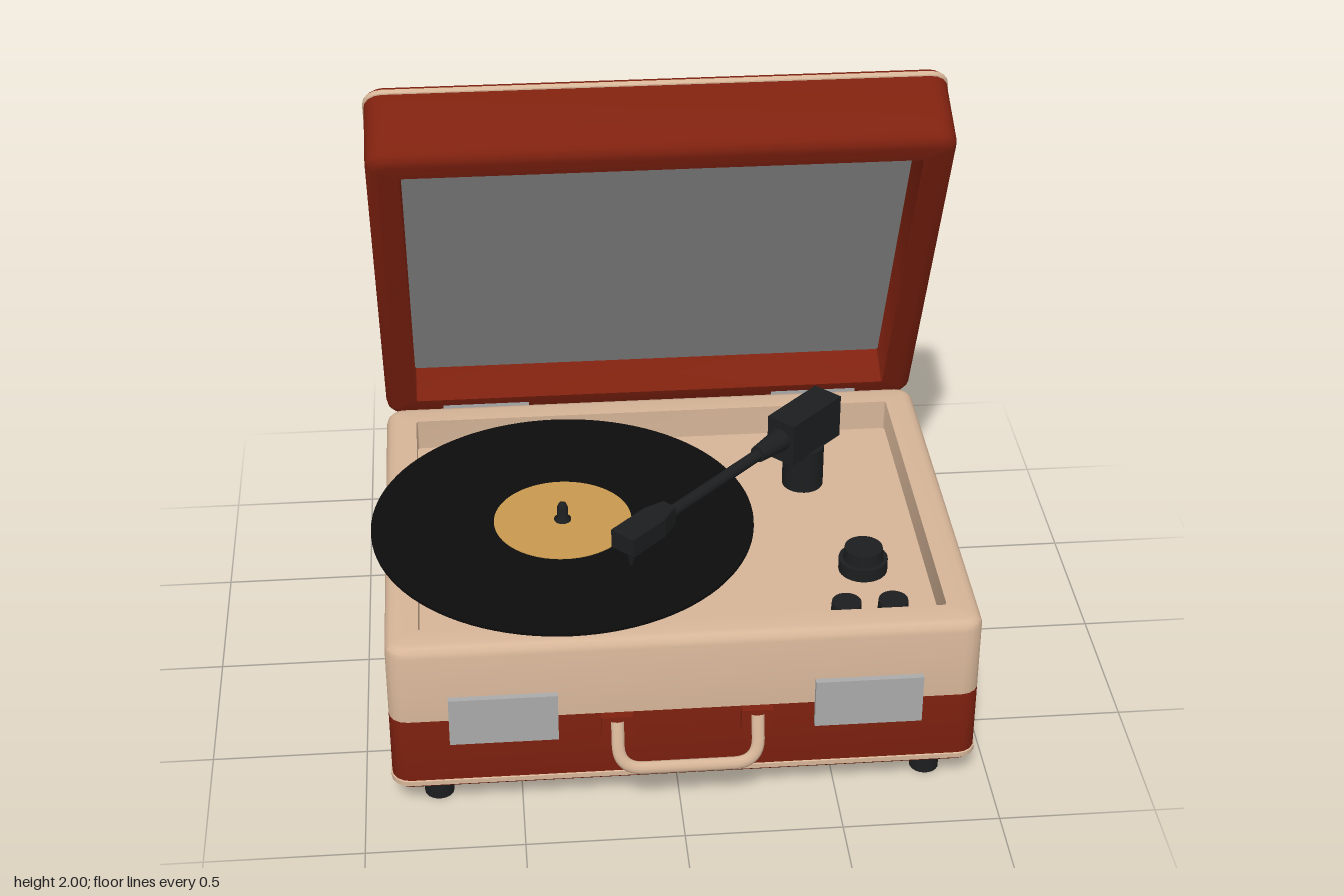
import * as THREE from 'three';
import { toCreasedNormals } from 'three/addons/utils/BufferGeometryUtils.js';

const paint = (color) => new THREE.MeshStandardMaterial({ color });
const RED = paint(0x7f210f), CREAM = paint(0xd6b598), BLACK = paint(0x1c1e1f);
const VINYL = paint(0x0c0c0c), LABEL = paint(0xc8994f), GREY = paint(0xaaaaaa), LINING = paint(0x8c8c8c);

const CX = 0.02, CZ = 0.10;           // case centre
const HX = 0.93, HZ = 0.7175;         // case half width and half depth
const CORNER = 0.06;

function add(parent, name, geometry, material, x = 0, y = 0, z = 0) {
  const mesh = new THREE.Mesh(geometry, material);
  mesh.name = name;
  mesh.position.set(x, y, z);
  parent.add(mesh);
  return mesh;
}

const box = (w, h, d) => new THREE.BoxGeometry(w, h, d);
const cyl = (top, bottom, h, sides = 32) => new THREE.CylinderGeometry(top, bottom, h, sides);

// Rounded-rectangle rings lofted along a profile of [insetX, insetZ, height].
// An inset of null closes the surface at the centre.
function loft(profile) {
  const steps = 4, n = 4 * (steps + 1), pos = [], index = [];
  for (const [ix, iz, h] of profile) {
    for (let q = 0; q < 4; q++) {
      for (let s = 0; s <= steps; s++) {
        if (ix === null) { pos.push(0, h, 0); continue; }
        const a = (q + s / steps) * Math.PI / 2;
        const r = Math.max(CORNER - ix, 0.01);
        const sx = q === 0 || q === 3 ? 1 : -1, sz = q < 2 ? -1 : 1;
        pos.push(sx * (HX - ix - r) + r * Math.cos(a), h, sz * (HZ - iz - r) - r * Math.sin(a));
      }
    }
  }
  for (let i = 0; i < profile.length - 1; i++) {
    for (let j = 0; j < n; j++) {
      const k = (j + 1) % n, a = i * n + j, b = i * n + k, c = b + n, d = a + n;
      if (profile[i][0] !== null) index.push(a, b, c);
      if (profile[i + 1][0] !== null) index.push(a, c, d);
    }
  }
  // drop zero-area centre triangles
  const tris = [];
  for (let t = 0; t < index.length; t += 3) tris.push(index[t], index[t + 1], index[t + 2]);
  for (let i = 0; i < profile.length - 1; i++) {
    for (let j = 0; j < n; j++) {
      const k = (j + 1) % n, a = i * n + j, b = i * n + k, c = b + n, d = a + n;
      if (profile[i][0] === null) tris.push(a, c, d);
      if (profile[i + 1][0] === null) tris.push(a, b, c);
    }
  }
  const g = new THREE.BufferGeometry();
  g.setAttribute('position', new THREE.Float32BufferAttribute(pos, 3));
  g.setIndex([...new Set(chunk(tris))].flatMap((s) => s.split(',').map(Number)));
  return toCreasedNormals(g, 0.6);
}

function chunk(list) {
  const out = [];
  for (let i = 0; i < list.length; i += 3) out.push(list.slice(i, i + 3).join(','));
  return out;
}

// Raised piping around the case
const piping = (h) => loft([[0.004, 0.004, h - 0.012], [-0.004, -0.004, h - 0.008],
  [-0.004, -0.004, h + 0.008], [0.004, 0.004, h + 0.012]]);

// Rounded outer edge from a flat face (dir 1 = bottom going up, -1 = top)
function edge(h, dir, r = 0.035) {
  const pts = [];
  for (let i = 0; i <= 3; i++) {
    const a = i / 3 * Math.PI / 2;
    const inset = r * (1 - Math.sin(a)), rise = r * (1 - Math.cos(a));
    pts.push([inset, inset, h + dir * rise]);
  }
  return dir > 0 ? pts : pts.reverse();
}

function buildCase() {
  const g = new THREE.Group();
  g.name = 'case';
  g.position.set(CX, 0, CZ);
  add(g, 'lowerCase', loft([[null, 0, 0.085], ...edge(0.085, 1), [0, 0, 0.36]]), RED);
  add(g, 'upperCaseAndDeck', loft([[0, 0, 0.36], ...edge(0.635, -1),
    [0.105, 0.105, 0.635], [0.105, 0.105, 0.525], [null, 0, 0.525]]), CREAM);
  add(g, 'casePiping', piping(0.118), CREAM);
  for (const s of [-1, 1]) {
    add(g, 'latch', box(0.34, 0.17, 0.025), GREY, s * 0.573, 0.365, 0.725);
    add(g, 'hinge', box(0.3, 0.08, 0.02), GREY, s * 0.58, 0.605, -0.72);
    add(g, 'handleMount', box(0.1, 0.075, 0.03), RED, s * 0.22, 0.322, 0.73);
    for (const z of [0.61, -0.595]) add(g, 'foot', cyl(0.047, 0.047, 0.09, 16), BLACK, s * 0.785, 0.045, z);
  }
  // Carrying handle: a rounded U tilted forward
  const path = new THREE.CurvePath(), w = 0.22, drop = -0.16, r = 0.08;
  const v = (x, y) => new THREE.Vector3(x, y, 0);
  path.add(new THREE.LineCurve3(v(-w, 0), v(-w, drop + r)));
  path.add(new THREE.QuadraticBezierCurve3(v(-w, drop + r), v(-w, drop), v(-w + r, drop)));
  path.add(new THREE.LineCurve3(v(-w + r, drop), v(w - r, drop)));
  path.add(new THREE.QuadraticBezierCurve3(v(w - r, drop), v(w, drop), v(w, drop + r)));
  path.add(new THREE.LineCurve3(v(w, drop + r), v(w, 0)));
  const tube = new THREE.TubeGeometry(path, 60, 0.021, 10, false);
  tube.scale(1, 1, 0.65);
  add(g, 'handle', tube, CREAM, 0, 0.35, 0.75).rotation.x = -0.29;
  return g;
}

function buildLid() {
  const g = new THREE.Group();
  g.name = 'lid';
  g.position.set(CX, 1.298, -0.475);
  g.rotation.x = THREE.MathUtils.degToRad(25 + 90);
  const t = 0.157;
  add(g, 'lidShell', loft([[null, 0, -t], ...edge(-t, 1, 0.04), ...edge(t, -1, 0.04),
    [0.105, 0.095, t], [0.105, 0.095, 0.01], [null, 0, 0.01]]), RED);
  add(g, 'lidPiping', piping(-t + 0.04), CREAM);
  add(g, 'lidLining', box(1.65, 0.01, 1.245), LINING, 0, 0.011, 0);
  return g;
}

function buildTurntable() {
  const g = new THREE.Group();
  g.name = 'turntable';
  g.position.set(-0.33, 0, 0.17);
  add(g, 'platter', cyl(0.45, 0.45, 0.12, 64), BLACK, 0, 0.585, 0);
  add(g, 'record', cyl(0.625, 0.625, 0.01, 96), VINYL, 0, 0.65, 0);
  add(g, 'recordLabel', cyl(0.225, 0.225, 0.004, 64), LABEL, 0, 0.6555, 0);
  const pin = [[0.028, 0.65], [0.028, 0.662], [0.018, 0.668], [0.018, 0.705], [0.012, 0.72], [0, 0.726]];
  add(g, 'spindle', new THREE.LatheGeometry(pin.map(([x, y]) => new THREE.Vector2(x, y)), 20), BLACK);
  return g;
}

// Tonearm built along local +x, then swung over the record
function buildTonearm() {
  const g = new THREE.Group();
  g.name = 'tonearm';
  g.position.set(0.51, 0, -0.19);
  g.rotation.y = -Math.PI * 0.75;
  add(g, 'pivotPost', cyl(0.07, 0.07, 0.16), BLACK, 0, 0.6, 0);
  add(g, 'pivotHousing', box(0.26, 0.155, 0.11), BLACK, 0, 0.752, 0);
  add(g, 'collar', cyl(0.028, 0.04, 0.13, 20), BLACK, 0.19, 0.76, 0).rotation.z = -Math.PI / 2;
  add(g, 'armTube', cyl(0.02, 0.02, 0.5, 16), BLACK, 0.48, 0.757, 0).rotation.z = -Math.PI / 2;
  const plan = new THREE.Shape([[0, -0.022], [0.07, -0.042], [0.22, -0.042], [0.22, 0.042], [0.07, 0.042], [0, 0.022]]
    .map(([x, y]) => new THREE.Vector2(x, y)));
  const head = new THREE.ExtrudeGeometry(plan, { depth: 0.065, bevelThickness: 0.006, bevelSize: 0.005, bevelSegments: 1 });
  head.rotateX(-Math.PI / 2);
  add(g, 'headshell', head, BLACK, 0.715, 0.727, 0);
  add(g, 'stylus', cyl(0.022, 0.004, 0.07, 12), BLACK, 0.898, 0.69, 0);
  return g;
}

function buildKnobs() {
  const g = new THREE.Group();
  g.name = 'knobs';
  add(g, 'mainKnobBase', cyl(0.08, 0.08, 0.045), BLACK, 0.64, 0.547, 0.34);
  add(g, 'mainKnobCap', cyl(0.062, 0.066, 0.045), BLACK, 0.64, 0.588, 0.34);
  for (const x of [0.55, 0.70]) add(g, 'smallKnob', cyl(0.047, 0.05, 0.05), BLACK, x, 0.548, 0.585);
  return g;
}

export function createModel() {
  const model = new THREE.Group();
  model.name = 'portableRecordPlayer';
  model.add(buildCase(), buildLid(), buildTurntable(), buildTonearm(), buildKnobs());
  return model;
}
